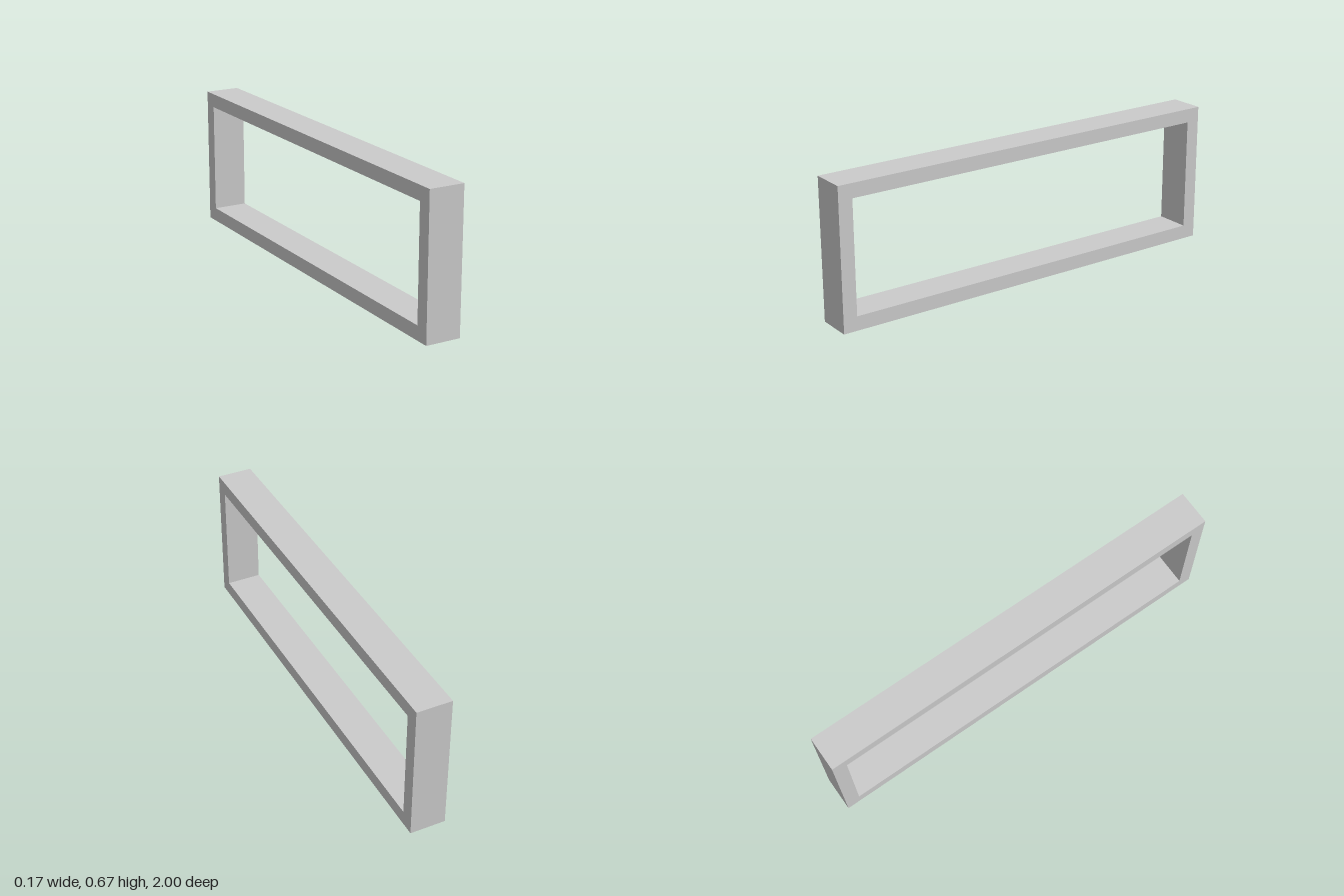
import * as THREE from 'three';

const LENGTH = 2, HEIGHT = 0.667, DEPTH = 0.167, WALL = 0.067;

// Adds a rectangle, inset from the outer outline, to a shape or path
function outline(path, inset) {
  const x = LENGTH / 2 - inset, y0 = inset, y1 = HEIGHT - inset;
  path.moveTo(-x, y0);
  path.lineTo(x, y0);
  path.lineTo(x, y1);
  path.lineTo(-x, y1);
  path.closePath();
  return path;
}

export function createModel() {
  const group = new THREE.Group();
  group.name = 'rectangularFrame';

  // Frame profile with a rectangular opening, extruded across the width
  const profile = outline(new THREE.Shape(), 0);
  profile.holes.push(outline(new THREE.Path(), WALL));
  const geometry = new THREE.ExtrudeGeometry(profile, { depth: DEPTH, bevelEnabled: false });
  geometry.translate(0, 0, -DEPTH / 2);
  geometry.rotateY(Math.PI / 2); // long side runs along z

  const frame = new THREE.Mesh(geometry, new THREE.MeshStandardMaterial({ color: 0xcccccc }));
  frame.name = 'frame';
  group.add(frame);
  return group;
}
